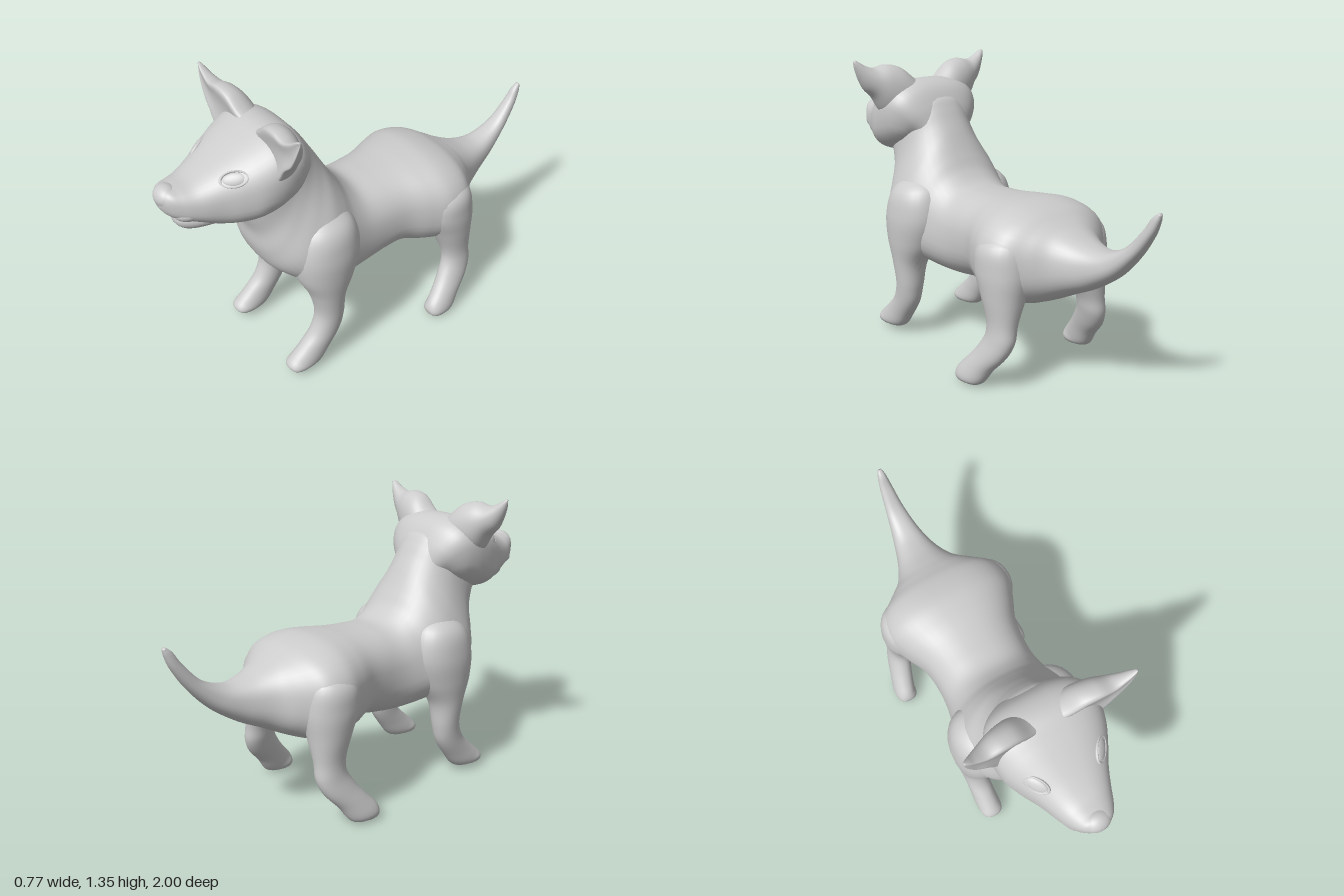
import * as THREE from 'three';

const material = new THREE.MeshStandardMaterial({ color: 0xcccccc, roughness: 0.8 });

// Smooth skin through cross-sections. Each row holds the two ends of the section in
// the z-y plane, its centre x, half width and narrowing: [z1, y1, z2, y2, x, w, taper].
function loft(rows, { around = 40, steps = 6, power = 0.95, cup = 0 } = {}) {
  const curve = (f) => new THREE.CatmullRomCurve3(rows.map(f), false, 'catmullrom', 0.5);
  const ends1 = curve((r) => new THREE.Vector3(0, r[1], r[0]));
  const ends2 = curve((r) => new THREE.Vector3(0, r[3], r[2]));
  const widths = curve((r) => new THREE.Vector3(r[4], r[5], r[6] ?? 0));
  const bend = (v) => Math.sign(v) * Math.abs(v) ** power;
  const n = (rows.length - 1) * steps;
  const pos = [], index = [];
  for (let i = -1; i <= n + 1; i++) {
    const t = THREE.MathUtils.clamp(i / n, 0, 1);
    const size = i < 0 || i > n ? 0 : 1; // closed ends
    const a = ends1.getPoint(t), b = ends2.getPoint(t), w = widths.getPoint(t);
    const mid = a.clone().add(b).multiplyScalar(0.5);
    const half = a.clone().sub(b).multiplyScalar(0.5 * size);
    for (let j = 0; j < around; j++) {
      const ang = (j / around) * Math.PI * 2;
      const c = bend(Math.cos(ang)), s = bend(Math.sin(ang));
      const hollow = s * cup < 0 ? cup * s * s : 0;
      const x = w.x + w.y * size * (s + hollow) * (1 - w.z * c);
      pos.push(x, mid.y + half.y * c, mid.z + half.z * c);
    }
  }
  for (let i = 0; i < n + 2; i++) {
    for (let j = 0; j < around; j++) {
      const p = i * around + j, q = i * around + ((j + 1) % around);
      index.push(p, p + around, q, q, p + around, q + around);
    }
  }
  const g = new THREE.BufferGeometry();
  g.setAttribute('position', new THREE.Float32BufferAttribute(pos, 3));
  g.setIndex(index);
  g.computeVertexNormals();
  return g;
}

function add(parent, name, geometry) {
  const mesh = new THREE.Mesh(geometry, material);
  mesh.name = name;
  parent.add(mesh);
  return mesh;
}

function blob(parent, name, [x, y, z], [rx, ry, rz]) {
  const mesh = add(parent, name, new THREE.SphereGeometry(1, 28, 20));
  mesh.position.set(x, y, z);
  mesh.scale.set(rx, ry, rz);
  return mesh;
}

export function createModel() {
  const model = new THREE.Group();
  model.name = 'dog';

  // Tail, torso and neck in one skin
  add(model, 'bodyAndTail', loft([
    [-0.985, 0.89, -0.997, 0.882, 0, 0.01],
    [-0.955, 0.865, -0.99, 0.85, 0, 0.02],
    [-0.915, 0.805, -0.965, 0.79, 0, 0.03],
    [-0.83, 0.715, -0.9, 0.69, 0, 0.045],
    [-0.72, 0.67, -0.8, 0.58, 0, 0.07],
    [-0.62, 0.68, -0.68, 0.495, 0, 0.105],
    [-0.53, 0.715, -0.58, 0.445, 0, 0.155],
    [-0.47, 0.745, -0.49, 0.4, 0, 0.235],
    [-0.4, 0.78, -0.4, 0.365, 0, 0.315],
    [-0.3, 0.803, -0.29, 0.35, 0, 0.33],
    [-0.2, 0.8, -0.2, 0.36, 0, 0.295],
    [-0.1, 0.79, -0.1, 0.385, 0, 0.25],
    [0, 0.785, 0, 0.37, 0, 0.235],
    [0.1, 0.79, 0.1, 0.36, 0, 0.237, 0.05],
    [0.17, 0.84, 0.22, 0.37, 0, 0.255, 0.15],
    [0.215, 0.905, 0.34, 0.4, 0, 0.282, 0.25],
    [0.25, 0.965, 0.45, 0.45, 0, 0.285, 0.3],
    [0.28, 1.02, 0.56, 0.54, 0, 0.25, 0.27],
    [0.31, 1.07, 0.605, 0.64, 0, 0.213, 0.17],
    [0.34, 1.12, 0.615, 0.74, 0, 0.192, 0.08],
    [0.375, 1.165, 0.64, 0.82, 0, 0.185],
    [0.43, 1.19, 0.66, 0.9, 0, 0.18],
  ], { power: 0.83 }));

  // Head, from the back of the skull to the nose tip
  const head = new THREE.Group();
  head.name = 'head';
  model.add(head);
  add(head, 'skull', loft([
    [0.33, 1.05, 0.47, 0.95, 0, 0.15],
    [0.362, 1.135, 0.465, 0.94, 0, 0.195, -0.02],
    [0.41, 1.21, 0.48, 0.925, 0, 0.23, -0.04],
    [0.47, 1.245, 0.51, 0.91, 0, 0.25, -0.05],
    [0.54, 1.248, 0.57, 0.887, 0, 0.255, -0.04],
    [0.62, 1.215, 0.65, 0.877, 0, 0.24],
    [0.7, 1.175, 0.72, 0.877, 0, 0.205],
    [0.78, 1.135, 0.79, 0.89, 0, 0.163],
    [0.86, 1.103, 0.86, 0.925, 0, 0.13, 0.06],
    [0.92, 1.098, 0.91, 0.95, 0, 0.106, 0.1],
    [0.96, 1.098, 0.95, 0.968, 0, 0.08, 0.06],
    [0.985, 1.08, 0.975, 0.99, 0, 0.05],
    [0.995, 1.06, 0.992, 1.02, 0, 0.02],
  ], { power: 0.77 }));
  add(head, 'lowerJaw', loft([
    [0.6, 1.0, 0.6, 0.89, 0, 0.15],
    [0.75, 0.98, 0.74, 0.876, 0, 0.115],
    [0.85, 0.97, 0.85, 0.876, 0, 0.085],
    [0.91, 0.965, 0.895, 0.882, 0, 0.063],
    [0.933, 0.95, 0.922, 0.898, 0, 0.04],
    [0.938, 0.93, 0.935, 0.915, 0, 0.014],
  ]));
  blob(head, 'nose', [0, 1.057, 0.95], [0.062, 0.048, 0.05]);

  for (const side of [1, -1]) {
    const label = side > 0 ? 'left' : 'right';

    // Upper lips
    blob(head, label + 'UpperLip', [side * 0.05, 0.99, 0.88], [0.064, 0.042, 0.075]);

    // Slanted eyes: a flat ball inside an almond lid
    const eye = new THREE.Group();
    eye.name = label + 'Eye';
    eye.position.set(side * 0.149, 1.122, 0.724);
    eye.lookAt(side * (0.149 + 0.58), 1.122 + 0.6, 0.724 + 0.5);
    eye.rotateZ(side * 0.2);
    head.add(eye);
    blob(eye, 'eyeball', [0, 0, 0], [0.05, 0.028, 0.011]);
    const lid = add(eye, 'eyelid', new THREE.TorusGeometry(0.053, 0.007, 10, 32));
    lid.scale.set(1.05, 0.6, 1);

    // Ears, lofted outwards to the tip with a broad root and a hollow front
    const ear = add(head, label + 'Ear', loft([
      [0.03, 1.225, 0.06, 1.06, -0.535, 0.08],
      [0.08, 1.257, 0.14, 1.06, -0.542, 0.1],
      [0.145, 1.308, 0.2, 1.06, -0.55, 0.1],
      [0.215, 1.323, 0.25, 1.105, -0.558, 0.09],
      [0.28, 1.312, 0.29, 1.17, -0.563, 0.07],
      [0.33, 1.328, 0.332, 1.212, -0.565, 0.047],
      [0.36, 1.346, 0.36, 1.262, -0.566, 0.03],
      [0.378, 1.354, 0.378, 1.308, -0.565, 0.016],
      [0.385, 1.35, 0.385, 1.335, -0.563, 0.006],
    ].map((r) => [...r.slice(0, 4), r[4] * side, r[5]]), { cup: 0.85 * side, power: 0.95 }));
    ear.rotation.y = side * Math.PI / 2;

    // Legs, from the muscle inside the body down to the paw
    const leg = (name, rows) => add(model, label + name,
      loft(rows.map((r) => [...r.slice(0, 4), r[4] * side, r[5]]), { around: 28 }));
    leg('FrontLeg', [
      [0.39, 0.83, 0.31, 0.83, 0.15, 0.04],
      [0.47, 0.75, 0.21, 0.76, 0.185, 0.115],
      [0.505, 0.64, 0.18, 0.63, 0.2, 0.132],
      [0.495, 0.52, 0.215, 0.5, 0.208, 0.122],
      [0.447, 0.41, 0.275, 0.39, 0.232, 0.085],
      [0.425, 0.29, 0.29, 0.27, 0.24, 0.065],
      [0.455, 0.2, 0.31, 0.185, 0.24, 0.058],
      [0.51, 0.14, 0.365, 0.1, 0.24, 0.056],
      [0.56, 0.095, 0.42, 0.035, 0.24, 0.058],
      [0.585, 0.07, 0.49, 0.02, 0.24, 0.056],
      [0.592, 0.052, 0.545, 0.02, 0.24, 0.043],
      [0.583, 0.035, 0.572, 0.027, 0.24, 0.013],
    ]);
    leg('HindLeg', [
      [-0.29, 0.73, -0.36, 0.73, 0.17, 0.04],
      [-0.215, 0.65, -0.445, 0.66, 0.21, 0.115],
      [-0.2, 0.55, -0.47, 0.54, 0.225, 0.12],
      [-0.25, 0.44, -0.46, 0.42, 0.245, 0.093],
      [-0.295, 0.33, -0.45, 0.31, 0.265, 0.062],
      [-0.3, 0.26, -0.45, 0.23, 0.277, 0.056],
      [-0.265, 0.19, -0.42, 0.16, 0.295, 0.055],
      [-0.22, 0.13, -0.36, 0.09, 0.315, 0.054],
      [-0.18, 0.085, -0.31, 0.02, 0.33, 0.055],
      [-0.165, 0.058, -0.25, 0.004, 0.332, 0.052],
      [-0.163, 0.04, -0.2, 0.003, 0.332, 0.038],
      [-0.168, 0.023, -0.18, 0.013, 0.332, 0.012],
    ]);
  }
  return model;
}
